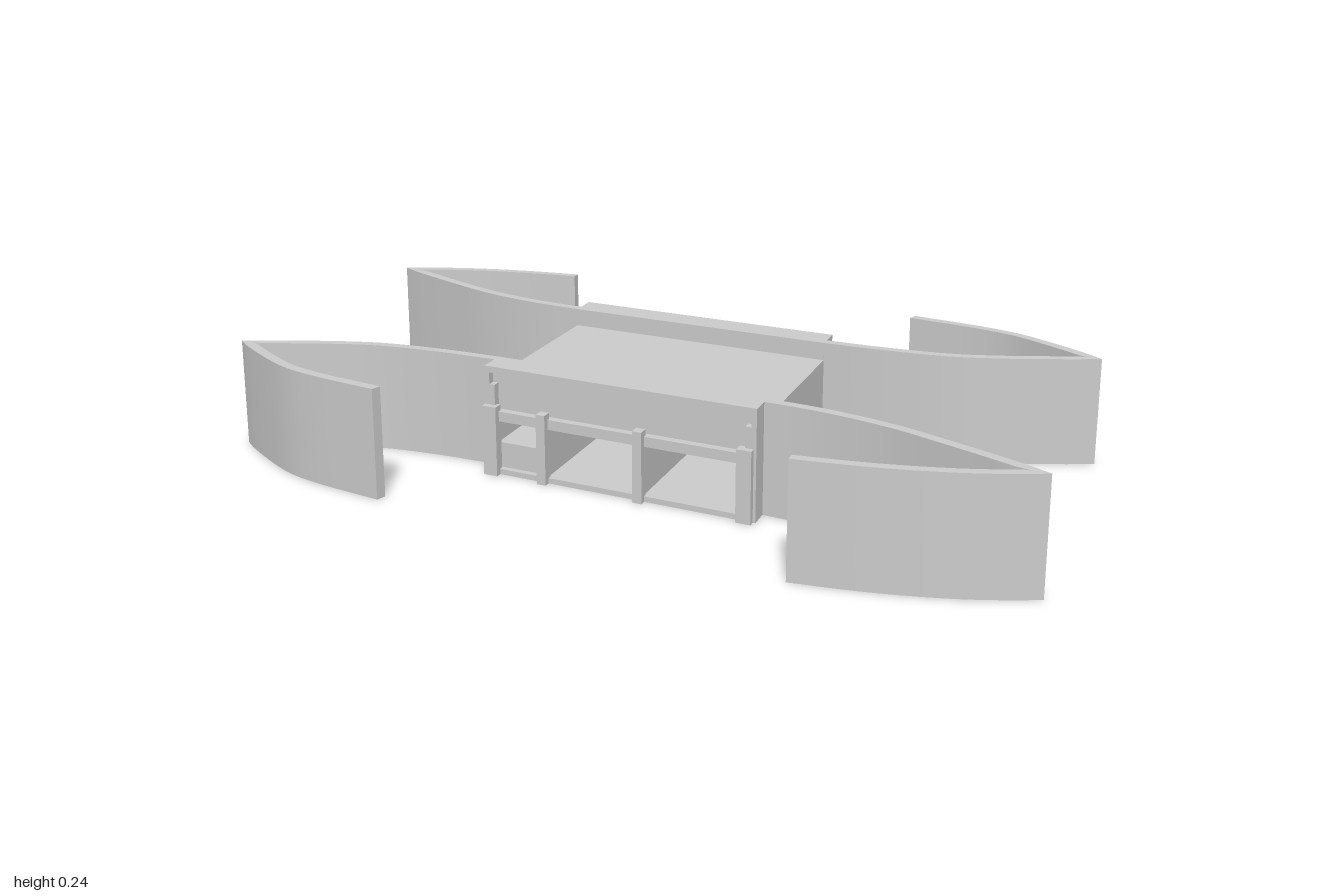
import * as THREE from 'three';
import { toCreasedNormals } from 'three/addons/utils/BufferGeometryUtils.js';

const SLANT = 0.175; // sideways shift of the body per unit of z
const material = new THREE.MeshStandardMaterial({ color: 0xcccccc });

// Box given by its limits, slanted along z in plan
function slantBox(name, x0, x1, y0, y1, z0, z1) {
  const g = new THREE.BoxGeometry(x1 - x0, y1 - y0, z1 - z0);
  g.translate((x0 + x1) / 2, (y0 + y1) / 2, (z0 + z1) / 2);
  const p = g.attributes.position;
  for (let i = 0; i < p.count; i++) p.setX(i, p.getX(i) + SLANT * p.getZ(i));
  g.computeVertexNormals();
  const mesh = new THREE.Mesh(g, material);
  mesh.name = name;
  return mesh;
}

// Upright band of constant thickness following two curves that meet at a tip
function band(name, inner, outer, height = 0.24, thickness = 0.024) {
  const sample = (pts) =>
    new THREE.CatmullRomCurve3(pts.map(([x, z]) => new THREE.Vector3(x, -z, 0)), false, 'centripetal')
      .getPoints(18).map((v) => new THREE.Vector2(v.x, v.y));
  const path = [...sample(inner), ...sample(outer).slice(1)];
  const sides = [[], []];
  path.forEach((p, i) => {
    const a = path[Math.max(i - 1, 0)], b = path[Math.min(i + 1, path.length - 1)];
    const d1 = (i ? p.clone().sub(a) : b.clone().sub(p)).normalize();
    const d2 = (i < path.length - 1 ? b.clone().sub(p) : d1.clone()).normalize();
    const t = d1.clone().add(d2).normalize();
    const n = new THREE.Vector2(-t.y, t.x);
    // mitre, limited so the tip stays blunt
    const k = thickness / 2 / Math.max(0.7, n.dot(new THREE.Vector2(-d1.y, d1.x)));
    sides[0].push(p.clone().addScaledVector(n, k));
    sides[1].unshift(p.clone().addScaledVector(n, -k));
  });
  const shape = new THREE.Shape([...sides[0], ...sides[1]]);
  let g = new THREE.ExtrudeGeometry(shape, { depth: height, bevelEnabled: false });
  g.rotateX(-Math.PI / 2);
  g = toCreasedNormals(g, 0.6);
  const mesh = new THREE.Mesh(g, material);
  mesh.name = name;
  return mesh;
}

export function createModel() {
  const model = new THREE.Group();
  model.name = 'model';
  const W = 0.325, D = 0.3;

  // Slanted hollow body with lanes running through it
  const body = new THREE.Group();
  body.name = 'body';
  body.add(
    slantBox('floor', -W, W, 0, 0.012, -D, D),
    slantBox('roof', -W, W, 0.12, 0.2, -0.27, 0.27),
    slantBox('leftWall', W - 0.025, W, 0, 0.2, -D, D),
    slantBox('rightWall', -W, -W + 0.025, 0, 0.2, -D, D),
    slantBox('sideLaneBlock', -0.3, -0.18, 0, 0.068, -0.285, 0.285),
  );
  const posts = [[-0.308, 0.034], [-0.178, 0.022], [0.057, 0.022], [0.302, 0.034]];
  for (const x of [-0.178, 0.057])
    body.add(slantBox('partition', x - 0.008, x + 0.008, 0, 0.13, -D, D));
  model.add(body);

  // Raised frame, recessed panel and posts at each end
  for (const s of [1, -1]) {
    const end = new THREE.Group();
    end.name = s > 0 ? 'frontEnd' : 'backEnd';
    const add = (name, x0, x1, y0, y1, za, zb) =>
      end.add(slantBox(name, x0, x1, y0, y1, Math.min(s * za, s * zb), Math.max(s * za, s * zb)));
    add('topSlab', -W, W, 0.226, 0.24, 0.225, D);
    add('panel', -W + 0.01, W - 0.01, 0.13, 0.23, 0.225, 0.28);
    add('beam', -W + 0.01, W - 0.01, 0.12, 0.142, 0.25, D);
    for (const m of [1, -1]) {
      const x = m * (W - 0.006);
      add('frameSide', x - 0.006, x + 0.006, 0, 0.24, 0.225, D);
    }
    for (const [x, w] of posts) add('post', x - w / 2, x + w / 2, 0, 0.155, D - 0.01, 0.316);
    model.add(end);
  }

  // Curved bands, one long and one short at each end, repeated by a half turn
  for (const turn of [0, Math.PI]) {
    const pair = new THREE.Group();
    pair.name = turn ? 'backBands' : 'frontBands';
    pair.add(
      band('longBand',
        [[0.36, 0.237], [0.5, 0.245], [0.65, 0.273], [0.78, 0.317], [0.985, 0.395]],
        [[0.985, 0.395], [0.87, 0.452], [0.77, 0.488], [0.68, 0.512], [0.56, 0.535]]),
      band('shortBand',
        [[-0.28, 0.237], [-0.42, 0.244], [-0.57, 0.266], [-0.67, 0.303], [-0.85, 0.395]],
        [[-0.85, 0.395], [-0.75, 0.452], [-0.64, 0.505], [-0.55, 0.527], [-0.37, 0.547]]),
    );
    pair.rotation.y = turn;
    model.add(pair);
  }
  return model;
}
